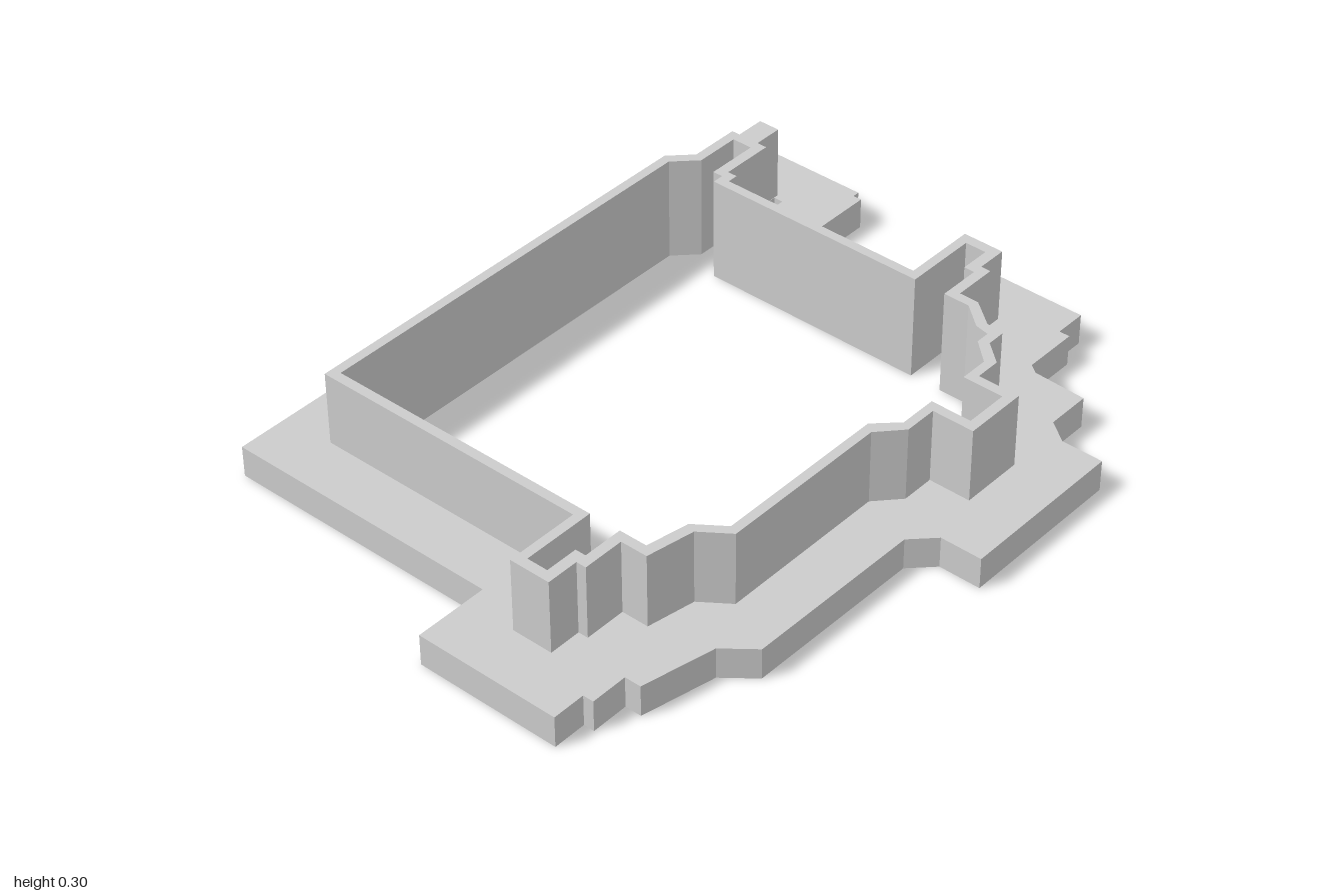
import * as THREE from 'three';

// Plan outlines as x, z pairs
const PLATE = [
  -0.71, -1, -0.35, -1, -0.35, -0.98, -0.325, -0.98, -0.325, -0.768, -0.297, -0.768, -0.297, -0.737,
  0, -0.737, 0, -0.943, 0.412, -0.943, 0.412, -0.853, 0.442, -0.853, 0.442, -0.697, 0.468, -0.678,
  0.617, -0.672, 0.617, -0.548, 0.677, -0.503, 0.794, -0.503, 0.794, -0.03, 0.677, -0.03,
  0.617, 0.03, 0.612, 0.535, 0.532, 0.6, 0.488, 0.803, 0.442, 0.803, 0.442, 0.907, 0.412, 0.907,
  0.412, 1, 0, 1, 0, 0.794, -0.794, 0.794, -0.794, -0.622, -0.735, -0.682, -0.735, -0.91, -0.71, -0.91,
];
const WALL_OUTER = [
  -0.646, 0.644, -0.646, -0.568, -0.588, -0.626, -0.588, -0.768, -0.564, -0.768, -0.564, -0.851,
  -0.503, -0.851, -0.503, -0.768, -0.474, -0.768, -0.474, -0.618, -0.446, -0.618, -0.446, -0.588,
  0.148, -0.588, 0.148, -0.795, 0.264, -0.795, 0.264, -0.71, 0.292, -0.71, 0.292, -0.588,
  0.347, -0.588, 0.417, -0.533, 0.468, -0.525, 0.468, -0.475, 0.527, -0.425, 0.527, -0.356,
  0.644, -0.356, 0.644, -0.18, 0.527, -0.18, 0.527, -0.088, 0.468, -0.024, 0.468, 0.457,
  0.392, 0.512, 0.368, 0.644, 0.292, 0.644, 0.292, 0.76, 0.264, 0.76, 0.264, 0.85, 0.148, 0.85, 0.148, 0.644,
];
const WALL_INNER = [
  -0.62, 0.617, -0.62, -0.555, -0.561, -0.614, -0.561, -0.741, -0.503, -0.741, -0.503, -0.594,
  -0.474, -0.594, -0.474, -0.562, 0.174, -0.562, 0.174, -0.766, 0.234, -0.766, 0.234, -0.681,
  0.264, -0.681, 0.264, -0.562, 0.338, -0.562, 0.402, -0.509, 0.442, -0.501, 0.442, -0.462,
  0.502, -0.408, 0.502, -0.329, 0.616, -0.329, 0.616, -0.207, 0.502, -0.207, 0.502, -0.102,
  0.442, -0.044, 0.442, 0.444, 0.365, 0.5, 0.343, 0.617, 0.264, 0.617, 0.264, 0.73,
  0.234, 0.73, 0.234, 0.822, 0.174, 0.822, 0.174, 0.617,
];
const NOTCH = [-0.502, -0.838, -0.475, -0.838, -0.475, -0.769, -0.502, -0.769];

const toPoints = (list) => {
  const points = [];
  for (let i = 0; i < list.length; i += 2) points.push(new THREE.Vector2(list[i], -list[i + 1]));
  return points;
};

// Upright prism of an outline with holes, from y = bottom to y = top.
// Holes wind against the outline so that their walls face the opening.
function prism(name, outline, holes, bottom, top, material) {
  const shape = new THREE.Shape(toPoints(outline));
  for (const hole of holes) shape.holes.push(new THREE.Path(toPoints(hole).reverse()));
  const geometry = new THREE.ExtrudeGeometry(shape, { depth: top - bottom, bevelEnabled: false });
  geometry.rotateX(-Math.PI / 2);
  geometry.translate(0, bottom, 0);
  const mesh = new THREE.Mesh(geometry, material);
  mesh.name = name;
  return mesh;
}

export function createModel() {
  const grey = new THREE.MeshStandardMaterial({ color: 0xcccccc });
  grey.name = 'plain grey';

  const model = new THREE.Group();
  model.name = 'flangedFrame';
  // Wide flat flange, open in the middle
  model.add(prism('basePlate', PLATE, [WALL_INNER, NOTCH], 0, 0.088, grey));
  // Thin wall rising around the opening
  model.add(prism('rimWall', WALL_OUTER, [WALL_INNER], 0.088, 0.295, grey));
  return model;
}
